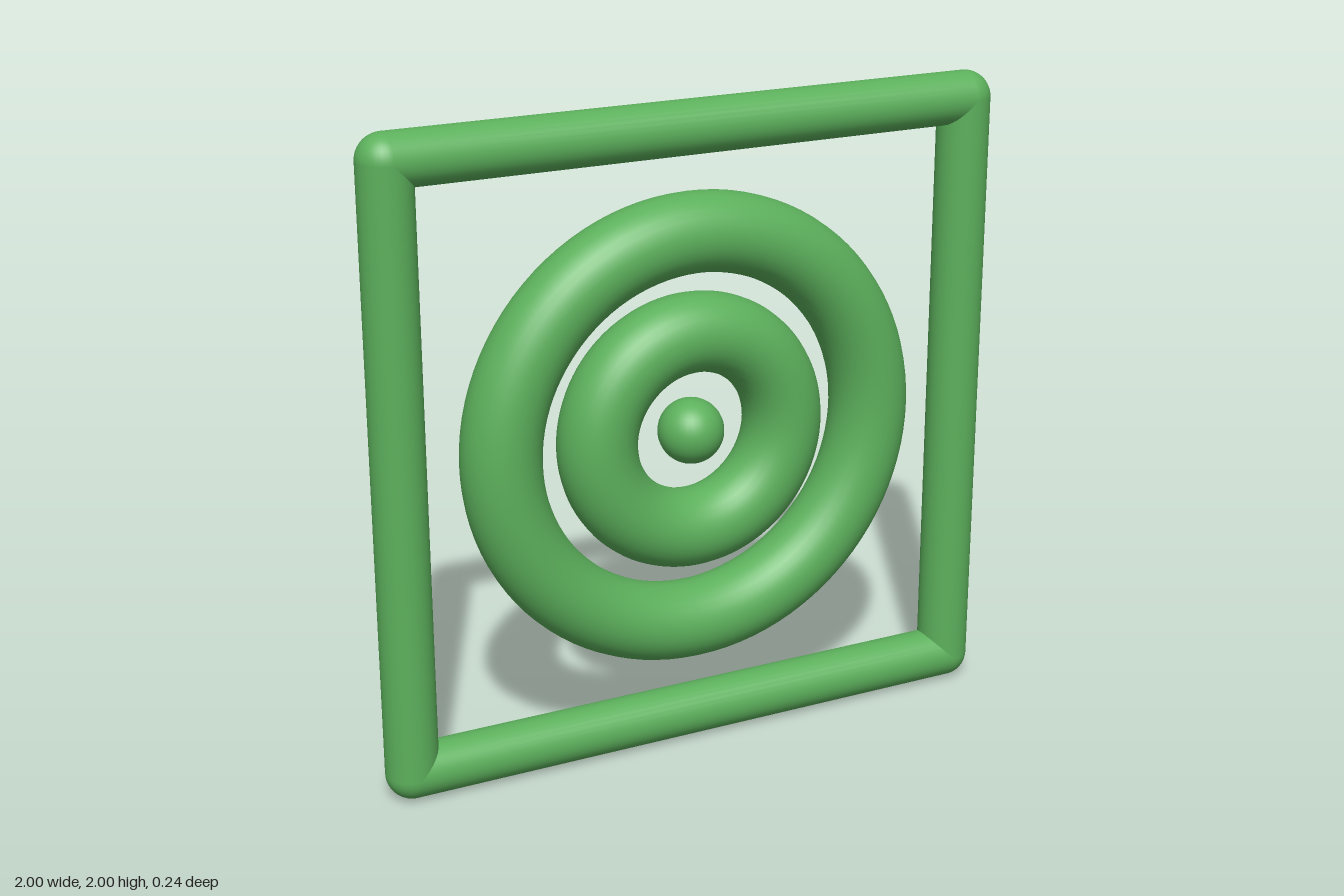
import * as THREE from 'three';

export function createModel() {
  const model = new THREE.Group();
  const material = new THREE.MeshStandardMaterial({ color: 0x5cb05c });

  const add = (parent, name, geometry, x = 0, y = 0) => {
    const mesh = new THREE.Mesh(geometry, material);
    mesh.name = name;
    mesh.position.set(x, y, 0);
    parent.add(mesh);
    return mesh;
  };

  // Square frame: four round bars joined by ball corners
  const barRadius = 0.08;
  const half = 1 - barRadius;
  const frame = new THREE.Group();
  frame.name = 'squareFrame';
  frame.position.y = 1;
  model.add(frame);

  const bar = new THREE.CylinderGeometry(barRadius, barRadius, half * 2, 32, 1, true);
  const corner = new THREE.SphereGeometry(barRadius, 32, 24);
  for (const side of [-1, 1]) {
    add(frame, side > 0 ? 'leftBar' : 'rightBar', bar, side * half, 0);
    add(frame, side > 0 ? 'topBar' : 'bottomBar', bar, 0, side * half).rotation.z = Math.PI / 2;
    for (const level of [-1, 1]) add(frame, 'frameCorner', corner, side * half, level * half);
  }

  // Concentric rings around a small ball
  add(model, 'outerRing', new THREE.TorusGeometry(0.61, 0.12, 32, 96), 0, 1);
  add(model, 'innerRing', new THREE.TorusGeometry(0.307, 0.12, 32, 96), 0, 1);
  add(model, 'centreBall', new THREE.SphereGeometry(0.1, 32, 24), 0, 1);

  return model;
}
